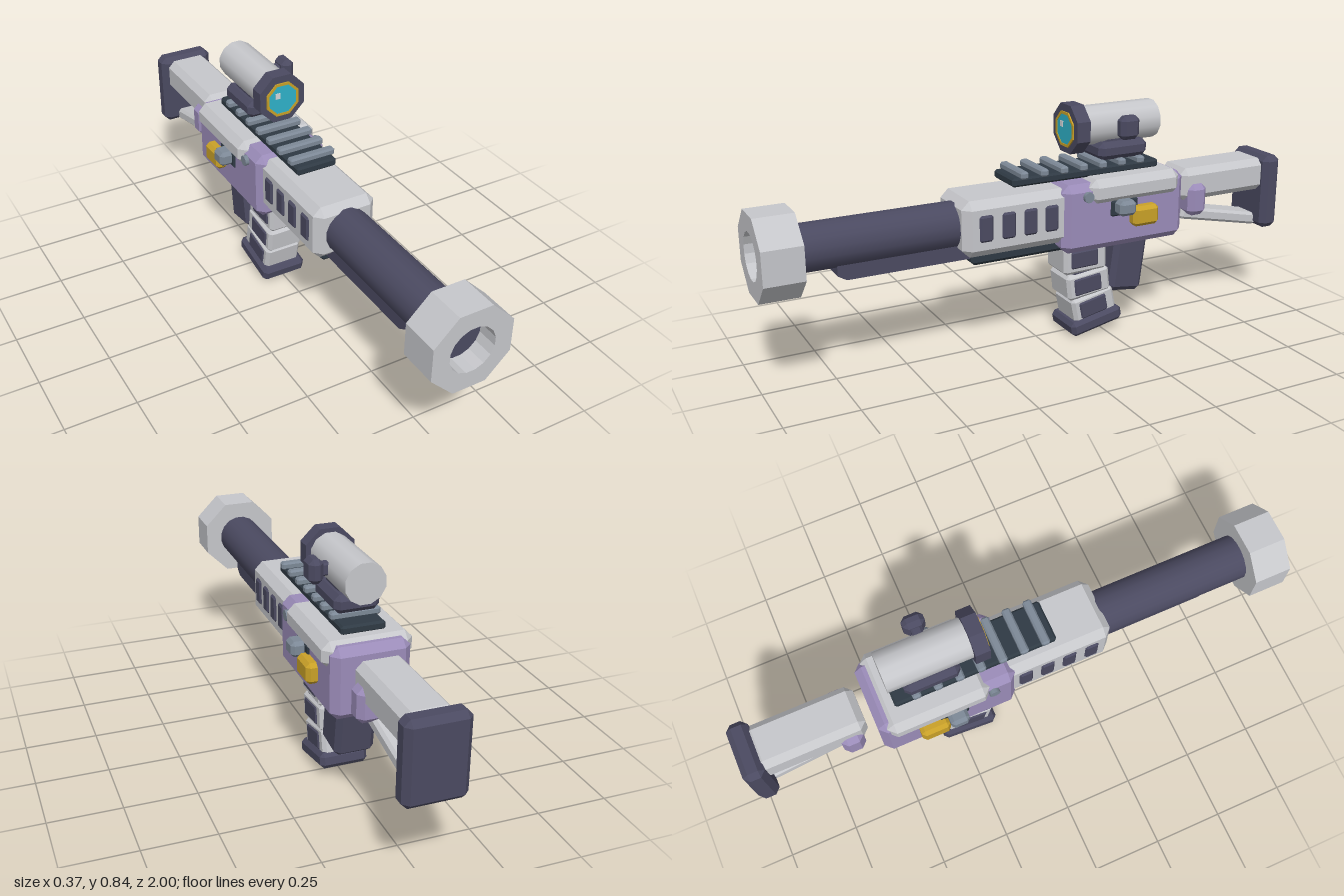
import * as THREE from 'three';
import { ConvexGeometry } from 'three/addons/geometries/ConvexGeometry.js';

const paint = (name, color) => {
  const m = new THREE.MeshStandardMaterial({ color });
  m.name = name;
  return m;
};

// Box with all edges and corners chamfered by c
function chamferBox(w, h, d, c) {
  const pts = [];
  for (const sx of [-1, 1]) for (const sy of [-1, 1]) for (const sz of [-1, 1]) {
    const x = w / 2, y = h / 2, z = d / 2;
    pts.push(new THREE.Vector3(sx * x, sy * (y - c), sz * (z - c)));
    pts.push(new THREE.Vector3(sx * (x - c), sy * y, sz * (z - c)));
    pts.push(new THREE.Vector3(sx * (x - c), sy * (y - c), sz * z));
  }
  return new ConvexGeometry(pts);
}

// Faceted or smooth cylinder lying along z, with a flat side facing up
function rod(r, length, sides, flat = false) {
  let g = new THREE.CylinderGeometry(r, r, length, sides);
  g.rotateY(Math.PI / sides).rotateX(Math.PI / 2);
  if (flat) {
    g = g.toNonIndexed();
    g.computeVertexNormals();
  }
  return g;
}

const polygon = (r, sides) => Array.from({ length: sides }, (_, i) => {
  const a = (i + 0.5) / sides * Math.PI * 2;
  return new THREE.Vector2(r * Math.cos(a), r * Math.sin(a));
});

// Hollow polygonal ring extruded along +z
function ring(outer, inner, sides, innerSides, depth) {
  const shape = new THREE.Shape(polygon(outer, sides));
  shape.holes.push(new THREE.Path(polygon(inner, innerSides)));
  return new THREE.ExtrudeGeometry(shape, { depth, bevelEnabled: false });
}

export function createModel() {
  const model = new THREE.Group();
  const light = paint('lightGrey', 0xc6c7cb);
  const dark = paint('darkSlate', 0x4b4a61);
  const purple = paint('lavender', 0x9b8cb9);
  const steel = paint('steel', 0x7d8997);
  const black = paint('darkTeal', 0x2f3a44);
  const gold = paint('gold', 0xc9a128);
  const cyan = paint('lensCyan', 0x2fb2ca);
  const glint = paint('glint', 0xd4d8dc);

  const add = (name, geo, mat, x, y, z, rx = 0) => {
    const m = new THREE.Mesh(geo, mat);
    m.name = name;
    m.position.set(x, y, z);
    m.rotation.x = rx;
    model.add(m);
    return m;
  };
  // Chamfered box given by its y and z ranges, centred on x
  const block = (name, mat, w, y0, y1, z0, z1, c, x = 0) =>
    add(name, chamferBox(w, y1 - y0, z1 - z0, c), mat, x, (y0 + y1) / 2, (z0 + z1) / 2);

  // Barrel and muzzle
  add('muzzle', ring(0.1515, 0.081, 8, 16, 0.135), light, 0, 0.475, 0.865);
  add('barrel', rod(0.081, 0.68, 16), dark, 0, 0.477, 0.59);
  const under = new THREE.Shape([[-0.25, 0.42], [-0.25, 0.362], [-0.71, 0.362], [-0.74, 0.38], [-0.74, 0.42]]
    .map(p => new THREE.Vector2(...p)));
  const underGeo = new THREE.ExtrudeGeometry(under, { depth: 0.1, bevelEnabled: false });
  underGeo.translate(0, 0, -0.05).rotateY(Math.PI / 2);
  add('underBarrel', underGeo, dark, 0, 0, 0);

  // Handguard with side vents
  block('handguard', light, 0.23, 0.38, 0.577, -0.08, 0.322, 0.028);
  block('handguardBase', black, 0.13, 0.337, 0.4, -0.1, 0.275, 0.012);
  for (const s of [-1, 1])
    for (const z of [0.244, 0.16, 0.078, -0.003])
      block('vent', dark, 0.02, 0.435, 0.53, z - 0.026, z + 0.026, 0.008, s * 0.112);

  // Receiver
  block('receiver', purple, 0.268, 0.341, 0.588, -0.537, -0.043, 0.026);
  block('upperReceiver', light, 0.304, 0.508, 0.6, -0.51, -0.143, 0.026);
  for (const s of [-1, 1]) {
    const pin = new THREE.CylinderGeometry(0.019, 0.019, 0.03, 10).rotateZ(Math.PI / 2);
    add('pin', pin, steel, s * 0.133, 0.545, -0.132);
    block('boltSlot', black, 0.02, 0.46, 0.518, -0.335, -0.225, 0.006, s * 0.131);
    block('bolt', steel, 0.055, 0.468, 0.522, -0.305, -0.238, 0.012, s * 0.157);
    block('goldLatch', gold, 0.05, 0.417, 0.49, -0.408, -0.303, 0.013, s * 0.145);
  }

  // Top rail
  block('rail', black, 0.15, 0.596, 0.627, -0.457, 0.125, 0.007);
  for (let i = 0; i < 7; i++) {
    const z = 0.083 - i * 0.077;
    block('railSlat', steel, 0.17, 0.622, 0.648, z - 0.015, z + 0.015, 0.006);
  }

  // Scope
  block('scopeMount', dark, 0.154, 0.645, 0.708, -0.412, -0.215, 0.018);
  block('scopeSaddle', dark, 0.1, 0.69, 0.735, -0.375, -0.25, 0.008);
  add('scopeTube', rod(0.07, 0.31, 12), light, 0, 0.763, -0.31);
  add('scopeBezel', rod(0.092, 0.052, 8, true), dark, 0, 0.76, -0.142);
  add('lensRing', ring(0.066, 0.056, 8, 8, 0.008), gold, 0, 0.758, -0.119);
  add('lens', rod(0.057, 0.008, 8, true), cyan, 0, 0.758, -0.117);
  add('lensGlint', new THREE.BoxGeometry(0.018, 0.021, 0.003), glint, -0.019, 0.774, -0.112);
  block('scopeKnob', dark, 0.05, 0.725, 0.808, -0.342, -0.266, 0.016, 0.11);
  block('scopeKnobStem', dark, 0.05, 0.745, 0.788, -0.322, -0.286, 0.006, 0.075);

  // Stock
  block('stock', light, 0.164, 0.447, 0.57, -0.945, -0.565, 0.024);
  block('stockBracket', purple, 0.204, 0.393, 0.513, -0.667, -0.588, 0.02);
  add('stockStrut', chamferBox(0.1, 0.046, 0.36, 0.01), light, 0, 0.358, -0.765, -0.21);
  block('buttPlate', dark, 0.21, 0.297, 0.58, -1, -0.924, 0.02);

  // Grip
  add('grip', chamferBox(0.14, 0.24, 0.137, 0.018), dark, 0, 0.257, -0.352, -0.13);

  // Curved magazine: three tilted segments with dark side panels, and a base
  const segments = [
    [0.295, -0.167, 0.11, 0.02],
    [0.194, -0.182, 0.097, 0.11],
    [0.106, -0.206, 0.1, 0.2],
  ];
  for (const [y, z, h, tilt] of segments) {
    add('magazineSegment', chamferBox(0.14, h, 0.174, 0.012), light, 0, y, z, tilt);
    for (const s of [-1, 1]) {
      const panel = add('magazinePanel', chamferBox(0.014, 0.066, 0.112, 0.006), dark, s * 0.068, y, z, tilt);
      panel.translateZ(0.006);
    }
  }
  add('magazineCore', chamferBox(0.12, 0.26, 0.13, 0.01), dark, 0, 0.2, -0.185, 0.14);
  add('magazineBase', chamferBox(0.17, 0.056, 0.21, 0.014), dark, 0, 0.046, -0.212, 0.2);

  return model;
}
